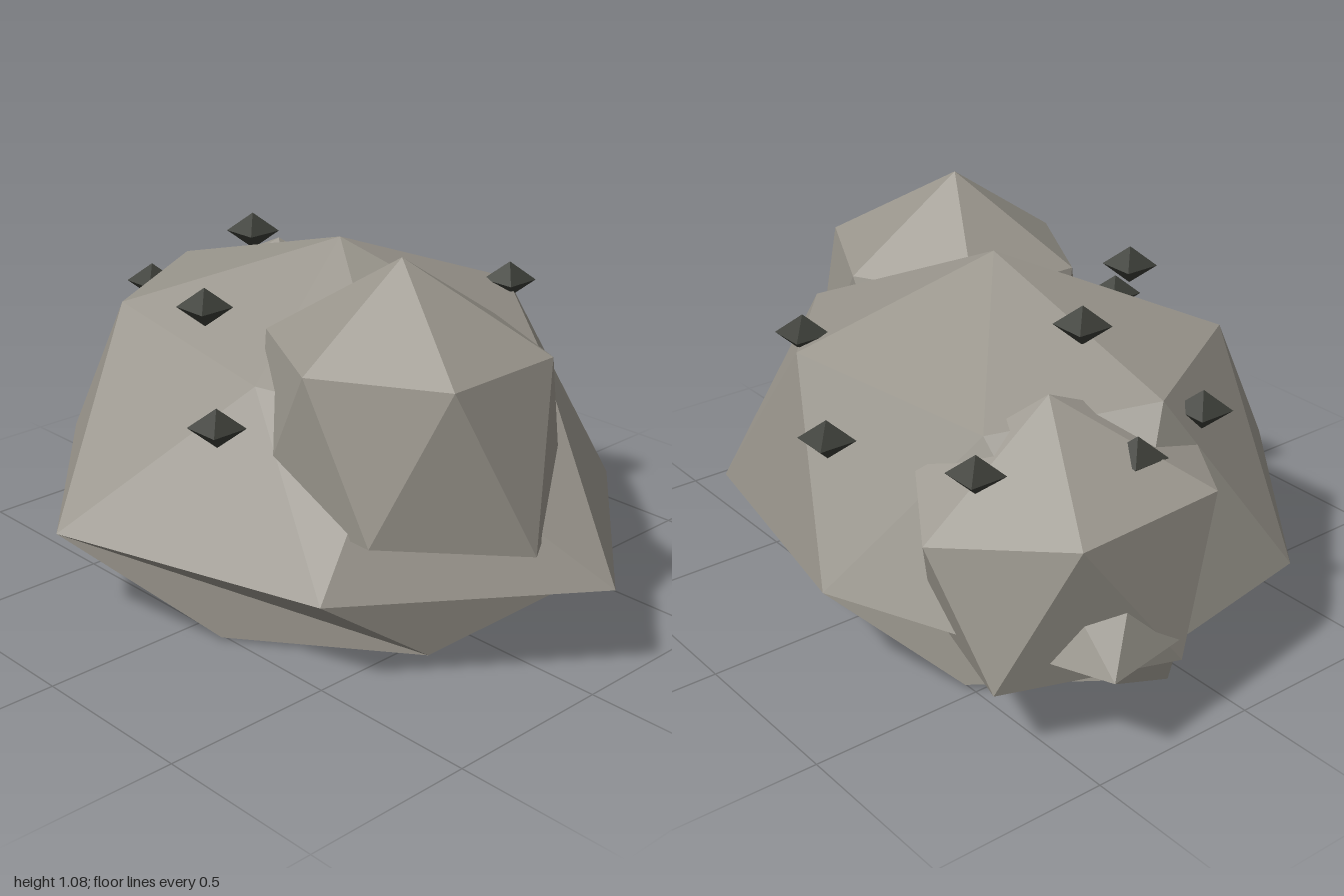
import * as THREE from 'three';

// Faceted solid: a stack of rings, each vertex lying between two of the ring before, closed by two points.
function facetedRock(name, material, first, rings, last) {
  const pos = [];
  const V = (p) => new THREE.Vector3(...p);
  const all = rings.flat();
  const centre = all.reduce((s, p) => s.add(V(p)), new THREE.Vector3()).divideScalar(all.length);
  // Every triangle is turned to face away from the centre
  const tri = (a, b, c) => {
    const n = V(b).sub(V(a)).cross(V(c).sub(V(a)));
    pos.push(...a, ...(n.dot(V(a).sub(centre)) > 0 ? [...b, ...c] : [...c, ...b]));
  };
  const count = rings[0].length;
  for (let i = 0; i < count; i++) {
    const j = (i + 1) % count;
    tri(first, rings[0][i], rings[0][j]);
    for (let r = 0; r + 1 < rings.length; r++) {
      const a = rings[r], b = rings[r + 1];
      // each next ring is half a step ahead, or half a step behind when flagged
      if (b.behind) {
        tri(b[i], b[j], a[i]);
        tri(b[j], a[i], a[j]);
      } else {
        tri(a[i], a[j], b[i]);
        tri(a[j], b[i], b[j]);
      }
    }
    const end = rings[rings.length - 1];
    tri(last, end[i], end[j]);
  }
  const geometry = new THREE.BufferGeometry();
  geometry.setAttribute('position', new THREE.Float32BufferAttribute(pos, 3));
  geometry.computeVertexNormals();
  const mesh = new THREE.Mesh(geometry, material);
  mesh.name = name;
  return mesh;
}

export function createModel() {
  const group = new THREE.Group();
  group.name = 'boulderCluster';
  const stone = new THREE.MeshStandardMaterial({ color: 0x98948b, flatShading: true });
  stone.name = 'warm grey stone';
  const ore = new THREE.MeshStandardMaterial({ color: 0x3b3d37, flatShading: true });
  ore.name = 'dark ore';

  // Main boulder: shoulder, widest ring and twisted foot
  const shoulder = [
    [-0.46, 0.81, 0.38], [0.15, 0.73, 0.41], [0.54, 0.72, 0.3], [0.52, 0.76, -0.3],
    [0.12, 0.8, -0.62], [-0.5, 0.75, -0.47], [-0.72, 0.81, -0.07],
  ];
  const waist = [
    [-0.87, 0.28, 0.28], [-0.26, 0.28, 0.785], [0.55, 0.28, 0.55], [1, 0.28, -0.07],
    [0.51, 0.28, -0.65], [-0.22, 0.28, -0.785], [-1, 0.28, -0.46],
  ];
  waist.behind = true;
  const foot = [
    [0.12, 0.01, 0.52], [0.59, 0.02, 0.19], [0.59, 0.02, -0.32], [0.1, 0.05, -0.56],
    [-0.48, 0.02, -0.52], [-0.77, 0, -0.06], [-0.45, 0.02, 0.37],
  ];
  group.add(facetedRock('mainBoulder', stone, [-0.03, 1.005, -0.07], [shoulder, waist, foot], [0, 0, 0]));

  // Large side boulder
  group.add(facetedRock('largeSideBoulder', stone, [0.4, 1.08, 0.12], [
    [[0.77, 0.86, 0.31], [0.4, 0.84, 0.47], [0.06, 0.84, 0.29], [0.06, 0.84, -0.07], [0.4, 0.84, -0.25], [0.75, 0.85, -0.08]],
    [[0.62, 0.435, 0.45], [0.2, 0.44, 0.45], [-0.05, 0.42, 0.12], [0.15, 0.42, -0.25], [0.69, 0.42, -0.21], [0.89, 0.4, 0.12]],
  ], [0.4, 0.25, 0.12]));

  // Small side boulder
  group.add(facetedRock('smallSideBoulder', stone, [-0.56, 0.84, -0.31], [
    [[-0.54, 0.53, -0.69], [-0.92, 0.62, -0.5], [-0.935, 0.65, -0.08], [-0.65, 0.69, 0.08], [-0.4, 0.7, -0.2], [-0.36, 0.63, -0.58]],
    [[-0.77, 0.2, -0.65], [-0.96, 0.22, -0.2], [-0.75, 0.17, 0.02], [-0.45, 0.2, -0.1], [-0.4, 0.2, -0.4], [-0.42, 0.25, -0.58]],
  ], [-0.65, 0.12, -0.3]));

  // Ore crystals scattered over the stone
  const crystal = new THREE.OctahedronGeometry(0.055);
  crystal.scale(Math.SQRT2, 1, Math.SQRT2).rotateY(Math.PI / 4);
  crystal.computeVertexNormals();
  [
    [-0.44, 0.93, -0.1], [-0.1, 0.88, 0.37], [0.17, 0.66, 0.56], [-0.72, 0.745, 0.07],
    [-0.14, 0.67, -0.7], [0.18, 0.82, -0.56], [-0.56, 0.69, -0.54], [-0.76, 0.71, -0.19],
  ].forEach((p, i) => {
    const mesh = new THREE.Mesh(crystal, ore);
    mesh.name = `oreCrystal${i + 1}`;
    mesh.position.set(...p);
    group.add(mesh);
  });
  return group;
}
